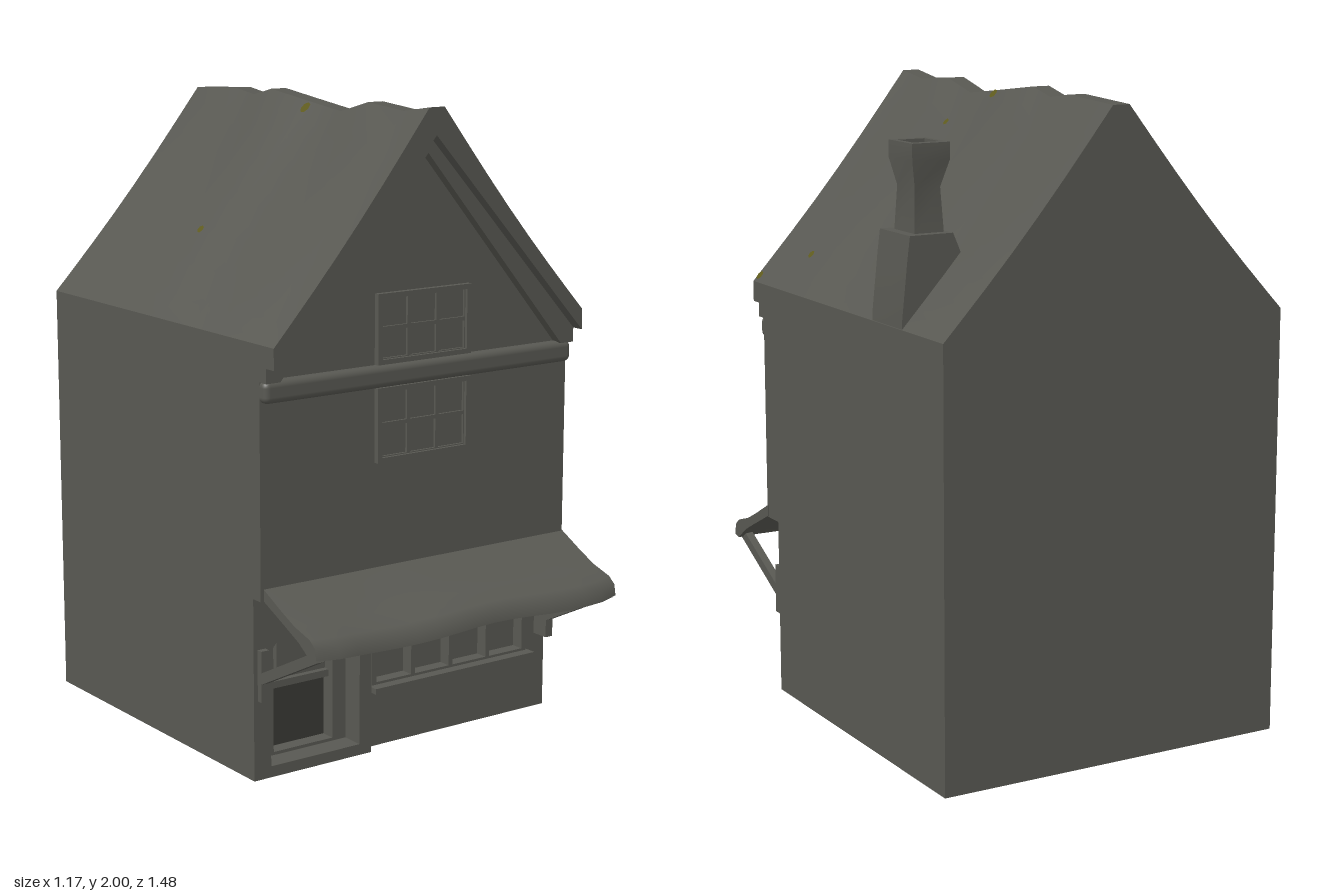
import * as THREE from 'three';
import { toCreasedNormals } from 'three/addons/utils/BufferGeometryUtils.js';
import { RoundedBoxGeometry } from 'three/addons/geometries/RoundedBoxGeometry.js';

const stone = new THREE.MeshStandardMaterial({ color: 0x585852 });
stone.name = 'grey stone';
const shade = new THREE.MeshStandardMaterial({ color: 0x393935 });
shade.name = 'dark panel';
const moss = new THREE.MeshStandardMaterial({ color: 0x5e5a1c });
moss.name = 'moss';

const CX = -0.008, HALF = 0.583, BACK = -0.74;

// Sagging ridge line: [z, height offset]
const RIDGE = [[-0.74, -0.022], [-0.5, -0.01], [-0.4, -0.024], [-0.3, 0], [-0.1, -0.024],
  [0.08, -0.045], [0.22, -0.008], [0.4, -0.022], [0.525, -0.003]];

function sag(z) {
  for (let i = 1; i < RIDGE.length; i++) {
    const [z0, y0] = RIDGE[i - 1], [z1, y1] = RIDGE[i];
    if (z <= z1) return y0 + (y1 - y0) * (z - z0) / (z1 - z0);
  }
  return 0;
}

// Roof height at distance t (0 ridge, 1 eave)
const roofY = (t, z) => 2 - 0.66 * t - 0.018 * Math.sin(Math.PI * t) + sag(z) * (1 - t);
const roofX = (t, side) => CX + side * (0.028 + (HALF - 0.028) * t);

// Closed solid from counter-clockwise rings [[x, y]...] stacked along z
function loft(rings, crease = 0.6) {
  const n = rings[0].pts.length, pos = [], idx = [];
  rings.forEach(r => r.pts.forEach(([x, y]) => pos.push(x, y, r.z)));
  for (let i = 0; i < rings.length - 1; i++) {
    for (let j = 0; j < n; j++) {
      const k = (j + 1) % n, a = i * n + j, b = i * n + k, c = b + n, d = a + n;
      idx.push(a, b, c, a, c, d);
    }
  }
  [0, rings.length - 1].forEach(r => {
    const contour = rings[r].pts.map(p => new THREE.Vector2(...p));
    THREE.ShapeUtils.triangulateShape(contour, []).forEach(([a, b, c]) => {
      if (r) idx.push(a + r * n, b + r * n, c + r * n);
      else idx.push(c, b, a);
    });
  });
  const g = new THREE.BufferGeometry();
  g.setAttribute('position', new THREE.Float32BufferAttribute(pos, 3));
  g.setIndex(idx);
  return toCreasedNormals(g, crease);
}

const rectPts = (x0, x1, y0, y1) => [[x0, y0], [x1, y0], [x1, y1], [x0, y1]];
const toV2 = pts => pts.map(p => new THREE.Vector2(...p));

// Flat panel with optional holes between two depths
function slab(pts, z0, z1, holes = []) {
  const s = new THREE.Shape(toV2(pts));
  holes.forEach(h => s.holes.push(new THREE.Path(toV2(h))));
  return new THREE.ExtrudeGeometry(s, { depth: z1 - z0, bevelEnabled: false }).translate(0, 0, z0);
}

// Doorway outline with rounded upper corners
function archPts(x0, x1, y0, y1, r) {
  const pts = [[x0, y0], [x1, y0]];
  for (const [cx, start] of [[x1 - r, 0], [x0 + r, Math.PI / 2]]) {
    for (let i = 0; i <= 5; i++) {
      const a = start + i * Math.PI / 10;
      pts.push([cx + r * Math.cos(a), y1 - r + r * Math.sin(a)]);
    }
  }
  return pts;
}

// Grid of pane openings inside a frame
function paneHoles(x0, x1, y0, y1, cols, rows, rim, bar) {
  const w = (x1 - x0 - 2 * rim - bar * (cols - 1)) / cols;
  const h = (y1 - y0 - 2 * rim - bar * (rows - 1)) / rows, holes = [];
  for (let i = 0; i < cols; i++) for (let j = 0; j < rows; j++) {
    const x = x0 + rim + i * (w + bar), y = y0 + rim + j * (h + bar);
    holes.push(rectPts(x, x + w, y, y + h));
  }
  return holes;
}

export function createModel() {
  const model = new THREE.Group();
  const add = (name, geo, mat = stone) => {
    const m = new THREE.Mesh(geo, mat);
    m.name = name;
    model.add(m);
    return m;
  };
  const box = (name, x0, x1, y0, y1, z0, z1, mat) => add(name,
    new THREE.BoxGeometry(x1 - x0, y1 - y0, z1 - z0)
      .translate((x0 + x1) / 2, (y0 + y1) / 2, (z0 + z1) / 2), mat);
  const L = CX - HALF, R = CX + HALF;

  // Walls
  box('groundFloor', L, R, 0, 0.58, BACK, 0.28);
  add('upperWalls', slab([[L, 0.57], [R, 0.57], [R, 1.32], [CX, 1.93], [L, 1.32]], BACK, 0.45));

  // Roof with a thick barge edge at the front
  const ts = [0, 0.15, 0.3, 0.45, 0.6, 0.75, 0.9, 1];
  const section = (z, drop) => {
    const right = ts.map(t => [roofX(t, 1), roofY(t, z)]);
    const left = ts.map(t => [roofX(t, -1), roofY(t, z)]);
    return { z, pts: [[L, 1.34 - drop], [CX, 1.995 - drop * 1.25], [R, 1.34 - drop],
      ...right.reverse(), ...left] };
  };
  add('roof', loft(RIDGE.map(([z]) => section(z, 0.065))));
  const board = (d, z) => slab([[L, 1.3 - d], [L + 0.05, 1.3 - d], [CX, 1.95 - d * 1.3],
    [R - 0.05, 1.3 - d], [R, 1.3 - d], [R, 1.33], [CX, 1.96], [L, 1.33]], 0.44, z);
  add('innerBargeboard', board(0.07, 0.485));

  // Beam between the storeys
  const beam = add('gableBeam', new RoundedBoxGeometry(2 * HALF, 0.068, 0.06, 3, 0.02)
    .translate(CX, 1.2, 0.45));
  beam.castShadow = false;

  // Two upper windows, three by two panes
  for (const [name, y0, y1] of [['gableWindow', 1.235, 1.45], ['upperWindow', 0.935, 1.165]]) {
    add(name, slab(rectPts(-0.175, 0.175, y0, y1), 0.445, 0.458,
      paneHoles(-0.175, 0.175, y0, y1, 3, 2, 0.018, 0.012)));
    add(name + 'Rim', slab(rectPts(-0.177, 0.177, y0, y1), 0.445, 0.468,
      [rectPts(-0.16, 0.16, y0 + 0.015, y1 - 0.015)]));
  }

  // Shop front and its four-light window
  add('shopWall', slab(rectPts(-0.155, R, 0, 0.58), 0.28, 0.37, [rectPts(-0.125, 0.475, 0.205, 0.47)]));
  add('shopWindow', slab(rectPts(-0.135, 0.487, 0.195, 0.48), 0.34, 0.385,
    paneHoles(-0.135, 0.487, 0.195, 0.48, 4, 1, 0.018, 0.015)));
  box('shopPanes', -0.13, 0.48, 0.2, 0.475, 0.335, 0.343);
  box('shopSill', -0.145, 0.495, 0.187, 0.205, 0.36, 0.42);

  // Door surround, frame and split door
  add('doorSurround', slab(rectPts(L, -0.155, 0, 0.58), 0.28, 0.41,
    [archPts(-0.53, -0.2, 0.035, 0.435, 0.06)]));
  add('doorFrame', slab(rectPts(-0.535, -0.195, 0.03, 0.44), 0.28, 0.335,
    [rectPts(-0.47, -0.25, 0.045, 0.405)]));
  box('lowerDoorPanel', -0.47, -0.25, 0.045, 0.24, 0.28, 0.287, shade);
  box('doorRail', -0.47, -0.25, 0.24, 0.262, 0.28, 0.315);
  box('upperDoorPanel', -0.47, -0.25, 0.262, 0.405, 0.28, 0.295);
  box('doorHinge', -0.468, -0.45, 0.285, 0.41, 0.29, 0.35);

  // Awning: curved sheet running along x with a wavy front edge
  const sheet = [[0.735, 0.452], [0.705, 0.445], [0.64, 0.487], [0.56, 0.523], [0.44, 0.575],
    [0.44, 0.612], [0.55, 0.56], [0.62, 0.53], [0.7, 0.508], [0.728, 0.487]];
  const rings = [];
  for (let i = 0; i <= 16; i++) {
    const x = -0.58 + i * 1.158 / 16, end = i === 0 || i === 16;
    rings.push({ z: x, pts: sheet.map(([z, y]) => {
      const f = Math.max(0, (z - 0.44) / 0.295);
      return [-z + f * (0.005 * Math.sin(x * 13) + (end ? 0.022 : 0.004)),
        y + f * 0.006 * Math.sin(x * 9 + 1)];
    }) });
  }
  add('awning', loft(rings, 0.8).rotateY(Math.PI / 2));

  // Awning brackets on both sides
  for (const s of [-1, 1]) {
    const x = CX + s * 0.555;
    box('bracketPlate', x - 0.014, x + 0.014, 0.25, 0.41, 0.36, 0.43);
    const strut = add('bracketStrut', new THREE.BoxGeometry(0.026, 0.032, 0.34));
    strut.position.set(x, 0.388, 0.555);
    strut.rotation.x = -Math.atan2(0.15, 0.3);
  }

  // Chimney: tapered shoulder, then a hollow flared stack; [x0, x1, z0, z1, y]
  const tower = (name, levels) => add(name, loft(levels.map(([x0, x1, z0, z1, y]) =>
    ({ z: y, pts: rectPts(x0, x1, -z1, -z0) }))).rotateX(-Math.PI / 2));
  tower('chimneyShoulder', [[0.32, 0.574, -0.495, -0.31, 1.25], [0.345, 0.574, -0.495, -0.31, 1.36],
    [0.375, 0.555, -0.495, -0.31, 1.54], [0.405, 0.546, -0.495, -0.31, 1.61]]);
  tower('chimneyStack', [[0.418, 0.515, -0.465, -0.34, 1.6], [0.425, 0.508, -0.455, -0.348, 1.74],
    [0.402, 0.525, -0.473, -0.328, 1.82], [0.402, 0.525, -0.473, -0.328, 1.87],
    [0.42, 0.507, -0.445, -0.352, 1.87], [0.42, 0.507, -0.445, -0.352, 1.78]]);

  // Moss patches on the slopes: [side, t, z, radius]
  for (const [side, t, z, r] of [[-1, 0.03, -0.08, 0.02], [1, 0.02, -0.09, 0.016],
    [1, 0.82, 0.29, 0.014], [1, 0.14, 0.09, 0.012], [1, 0.97, 0.5, 0.016], [-1, 0.6, -0.2, 0.014]]) {
    const n = new THREE.Vector3(side * 0.66, HALF, 0).normalize();
    const patch = add('mossPatch', new THREE.CircleGeometry(r, 7), moss);
    patch.position.set(roofX(t, side), roofY(t, z), z).addScaledVector(n, 0.006);
    patch.quaternion.setFromUnitVectors(new THREE.Vector3(0, 0, 1), n);
  }
  return model;
}
